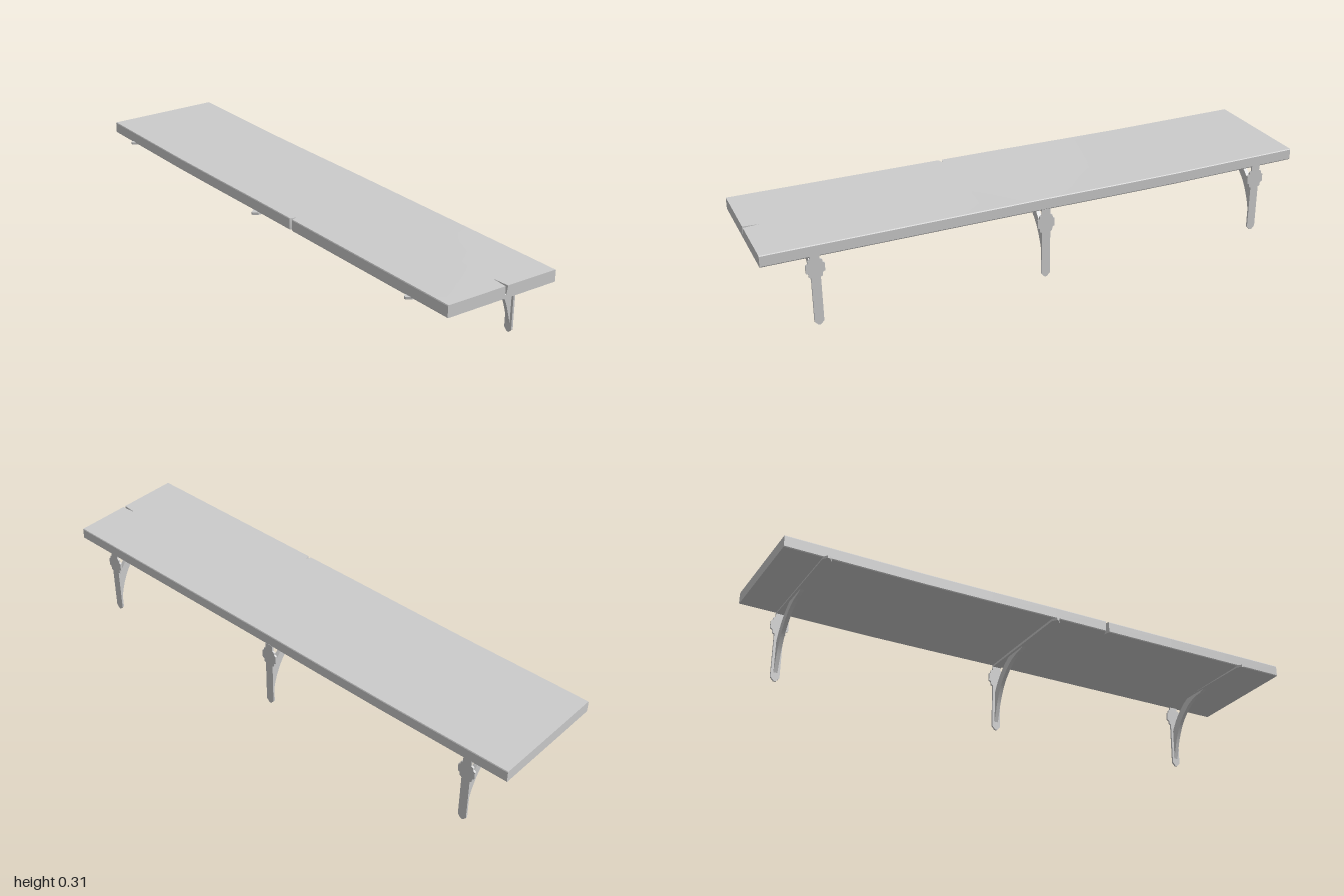
import * as THREE from 'three';
import { toCreasedNormals } from 'three/addons/utils/BufferGeometryUtils.js';

const material = new THREE.MeshStandardMaterial({ color: 0xcccccc });

function part(name, geometry) {
  const mesh = new THREE.Mesh(toCreasedNormals(geometry, 0.5), material);
  mesh.name = name;
  return mesh;
}

// Extrude a shape, centred on its depth.
function slab(shape, depth) {
  const g = new THREE.ExtrudeGeometry(shape, { depth, bevelEnabled: false, curveSegments: 16 });
  return g.translate(0, 0, -depth / 2);
}

// Closed shape from one half of an outline, mirrored across x = 0.
function mirroredShape(half) {
  const left = half.map(([x, y]) => [-x, y]).reverse();
  return new THREE.Shape([...half, ...left].map(([x, y]) => new THREE.Vector2(x, y)));
}

// Slightly sagging, twisted plank with small chamfers and two splits.
function plankGeometry() {
  const thickness = 0.042;
  const xs = [-1, -0.75, -0.5, -0.25, 0, 0.212, 0.219, 0.226, 0.5, 0.75, 0.9, 1];
  const sag = [0.266, 0.264, 0.262, 0.263, 0.265, 0.2655, 0.2655, 0.2655, 0.266, 0.2665, 0.267, 0.267];
  const vs = [0, 0.08, 0.3, 0.93, 1];
  const zs = [-0.228, -0.12, -0.024, -0.019, -0.014, 0.1, 0.185, 0.216];
  const nx = xs.length - 1, ny = vs.length - 1, nz = zs.length - 1;
  const g = new THREE.BoxGeometry(1, 1, 1, nx, ny, nz);
  const p = g.attributes.position;
  for (let n = 0; n < p.count; n++) {
    const i = Math.round((p.getX(n) + 0.5) * nx);
    const j = Math.round((p.getY(n) + 0.5) * ny);
    const k = Math.round((p.getZ(n) + 0.5) * nz);
    let x = xs[i], z = zs[k];
    const v = vs[j];
    // chamfer of the long edges
    if (j === 0 || j === ny) z -= k === nz ? 0.002 : k === 0 ? -0.002 : 0;
    // split in the front edge
    if (i === 6 && k === nz) z -= 0.022;
    // split in the left end, deepest at the top
    if (i === nx && k === 3) x -= 0.06 * Math.max(0, (v - 0.3) / 0.7);
    const twist = 0.0055 * (z / 0.22) * (1 + xs[i]) / 2;
    p.setXYZ(n, x, sag[i] + twist + v * thickness, z);
  }
  return g;
}

function createBracket(x, lift) {
  const bracket = new THREE.Group();
  bracket.name = 'bracket';

  // Wall plate: pointed foot and stepped ornament near the top
  const plate = slab(mirroredShape([
    [0.004, 0.001], [0.016, 0.014], [0.016, 0.176], [0.023, 0.18], [0.024, 0.192],
    [0.032, 0.196], [0.032, 0.224], [0.025, 0.228], [0.024, 0.238], [0.016, 0.242], [0.016, 0.262],
  ]), 0.007).translate(0, 0, -0.2245);
  bracket.add(part('wallPlate', plate));

  // Arm under the plank with a pointed tip
  const arm = slab(mirroredShape([
    [0.016, -0.228], [0.016, 0.212], [0.004, 0.228],
  ].map(([a, b]) => [a, b])), 0.009).rotateX(Math.PI / 2).translate(0, 0.2595, 0);
  bracket.add(part('arm', arm));

  // Curved crescent brace between arm and plate
  const outline = new THREE.Shape();
  outline.moveTo(-0.01, 0.256);
  outline.splineThru([[-0.035, 0.247], [-0.075, 0.24], [-0.12, 0.218], [-0.165, 0.175],
    [-0.195, 0.12], [-0.211, 0.07], [-0.222, 0.028]].map(([a, b]) => new THREE.Vector2(a, b)));
  outline.lineTo(-0.222, 0.148);
  outline.quadraticCurveTo(-0.185, 0.222, -0.113, 0.256);
  const brace = slab(outline, 0.014).rotateY(-Math.PI / 2);
  bracket.add(part('brace', brace));

  bracket.position.set(x, lift, 0);
  return bracket;
}

export function createModel() {
  const model = new THREE.Group();
  model.name = 'wallShelf';
  model.add(part('plank', plankGeometry()));
  for (const [x, lift] of [[-0.852, 0.005], [0.004, 0], [0.823, 0.01]]) {
    model.add(createBracket(x, lift));
  }
  return model;
}
